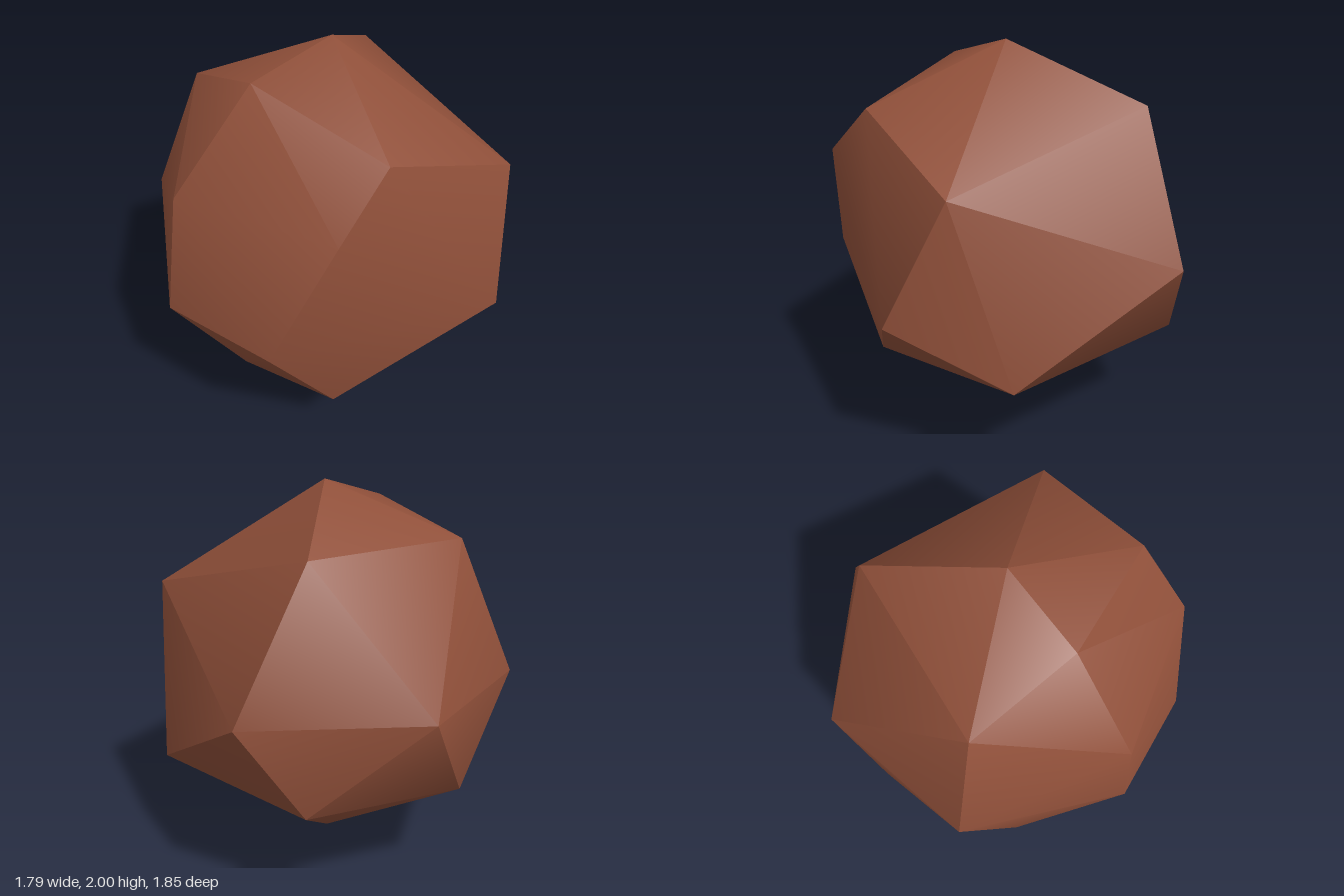
import * as THREE from 'three';
import { ConvexGeometry } from 'three/addons/geometries/ConvexGeometry.js';
import { toCreasedNormals } from 'three/addons/utils/BufferGeometryUtils.js';

// Corners of the faceted boulder on a unit sphere:
// [degrees down from the top, degrees around from the back toward +x]
const CORNERS = [
  [0, 0], [180, 0],
  [27, -108],
  [45, 36], [45, -54], [45, 180],
  [63, 126], [63, -162], [63, -108],
  [90, 0], [90, 54], [90, -54],
  [99, 144], [99, -144], [99, -108],
  [117, 36], [117, 108], [117, -18], [117, -72],
  [135, -162], [144, -108],
];

function spherePoint([down, around]) {
  const t = THREE.MathUtils.degToRad(down);
  const a = THREE.MathUtils.degToRad(around);
  return new THREE.Vector3(
    Math.sin(t) * Math.sin(a),
    Math.cos(t),
    -Math.sin(t) * Math.cos(a),
  );
}

export function createModel() {
  const group = new THREE.Group();
  group.name = 'boulder';

  const brownStone = new THREE.MeshStandardMaterial({ color: 0x8f4f39 });
  brownStone.name = 'brownStone';

  // Chipped sphere: hull of the corners, softly shaded with sharp steep edges
  const hull = new ConvexGeometry(CORNERS.map(spherePoint));
  const geometry = toCreasedNormals(hull, THREE.MathUtils.degToRad(38));
  geometry.translate(0.04, 1, 0.08);

  const stone = new THREE.Mesh(geometry, brownStone);
  stone.name = 'stone';
  group.add(stone);
  return group;
}
